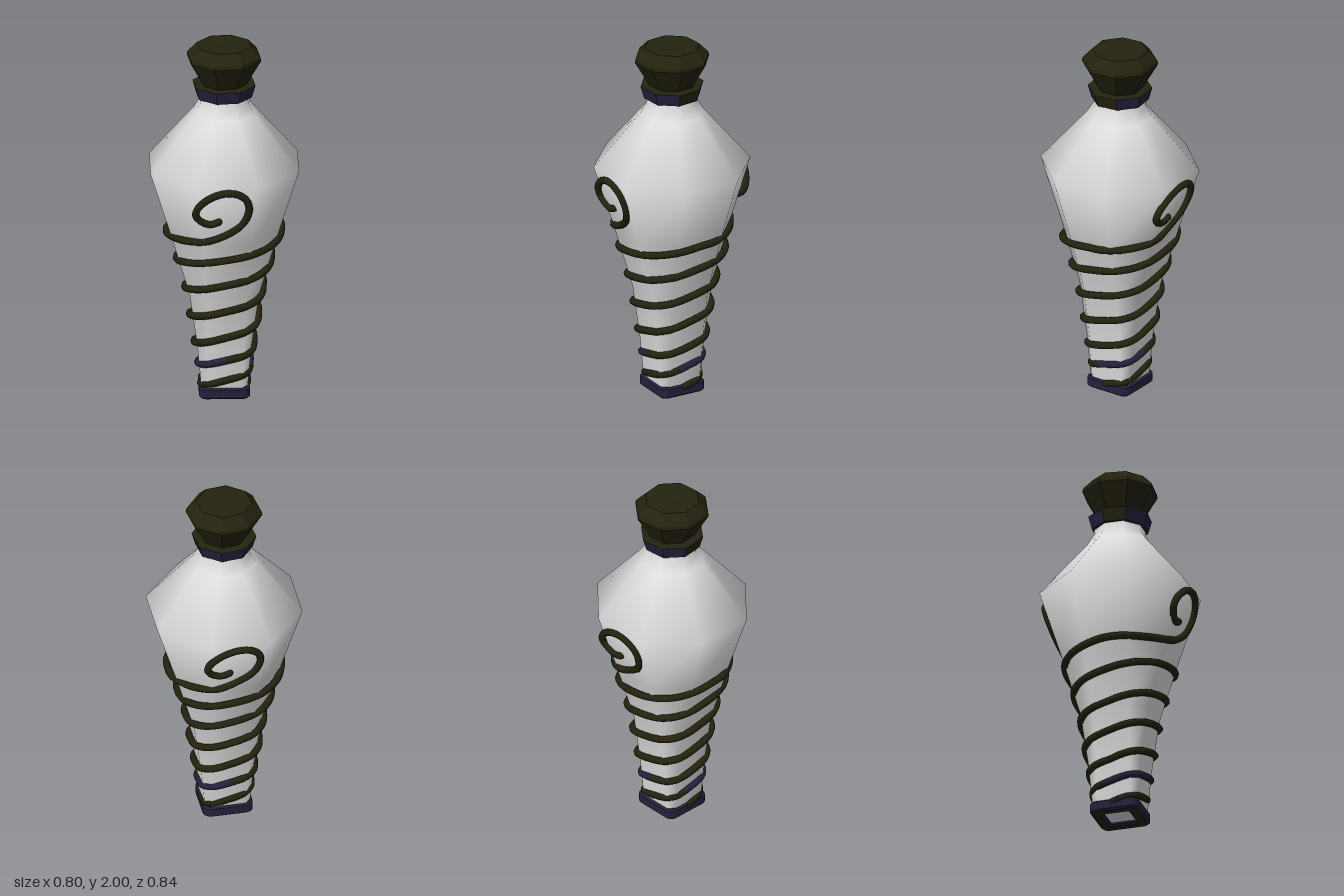
import * as THREE from 'three';

const white = new THREE.MeshStandardMaterial({ color: 0xdedede });
white.name = 'whiteGlass';
const olive = new THREE.MeshStandardMaterial({ color: 0x24220f });
olive.name = 'darkOlive';
const navy = new THREE.MeshStandardMaterial({ color: 0x24213c });
navy.name = 'darkNavy';

function add(parent, geometry, material, name) {
  const mesh = new THREE.Mesh(geometry, material);
  mesh.name = name;
  parent.add(mesh);
  return mesh;
}

// Bottle: eight-sided sections [y, half width, corner ratio], square below and octagonal above
function bodyGeometry() {
  const sections = [
    [0.02, 0.122, 0.75], [0.3, 0.146, 0.68], [0.6, 0.188, 0.56], [0.95, 0.288, 0.45],
    [1.32, 0.4, 0.41], [1.62, 0.163, 0.41], [1.68, 0.13, 0.41], [1.73, 0.125, 0.41],
  ];
  const pos = [], index = [];
  for (const [y, a, t] of sections) {
    for (let k = 0; k < 4; k++) {
      for (const off of [-t - 0.03, t - 0.03]) {
        let x = a, z = a * off;
        for (let q = 0; q < k; q++) [x, z] = [-z, x];
        pos.push(x, y, z);
      }
    }
  }
  for (let j = 0; j < sections.length - 1; j++) {
    for (let i = 0; i < 8; i++) {
      const a = j * 8 + i, b = j * 8 + (i + 1) % 8;
      index.push(a, a + 8, b, b, a + 8, b + 8);
    }
  }
  // Flat underside with its own corners
  const base = pos.length / 3;
  pos.push(...pos.slice(0, 24));
  for (let i = 1; i < 7; i++) index.push(base, base + i, base + i + 1);
  const g = new THREE.BufferGeometry();
  g.setAttribute('position', new THREE.Float32BufferAttribute(pos, 3));
  g.setIndex(index);
  g.computeVertexNormals();
  return g;
}

// Faceted eight-sided turned part
function facetedLathe(profile) {
  const points = profile.map(([r, y]) => new THREE.Vector2(r, y));
  const g = new THREE.LatheGeometry(points, 8, THREE.MathUtils.degToRad(29.3)).toNonIndexed();
  g.computeVertexNormals();
  return g;
}

// Vine: three rising turns hugging the bottle, ending in a curl on the front
function vineCurve() {
  const ys = [0.05, 0.17, 0.29, 0.45, 0.61, 0.78, 0.94];
  const rs = [0.125, 0.14, 0.16, 0.185, 0.21, 0.255, 0.31];
  const points = [];
  const steps = 10;
  for (let i = 0; i <= 6 * steps; i++) {
    const h = Math.min(Math.floor(i / steps), 5), f = i / steps - h;
    const y = THREE.MathUtils.lerp(ys[h], ys[h + 1], f);
    const r = THREE.MathUtils.lerp(rs[h], rs[h + 1], f);
    const p = THREE.MathUtils.lerp(3.5, 2.2, y);
    const angle = Math.PI * (1 - i / steps);
    const c = Math.cos(angle), s = Math.sin(angle);
    const k = r / Math.pow(Math.abs(c) ** p + Math.abs(s) ** p, 1 / p);
    points.push(new THREE.Vector3(c * k, y, s * k));
  }
  points.push(new THREE.Vector3(-0.3, 0.945, 0.1), new THREE.Vector3(-0.22, 0.955, 0.22));
  const curl = [
    [-0.1, 0.98], [0, 1.02], [0.09, 1.09], [0.125, 1.18], [0.11, 1.25], [0.06, 1.288],
    [-0.01, 1.293], [-0.09, 1.26], [-0.15, 1.2], [-0.162, 1.15], [-0.13, 1.11], [-0.08, 1.093], [-0.038, 1.108],
  ];
  for (const [x, y] of curl) points.push(new THREE.Vector3(x, y, 0.308 + (y - 1) * 0.32));
  return new THREE.CatmullRomCurve3(points, false, 'centripetal');
}

function makeVine() {
  const vine = new THREE.Group();
  const curve = vineCurve();
  const segments = 320, sides = 8;
  const tube = new THREE.TubeGeometry(curve, segments, 0.02, sides, false);
  for (let i = 0; i < segments; i++) {
    const y = curve.getPointAt((i + 0.5) / segments).y;
    tube.addGroup(i * sides * 6, sides * 6, y > 0.16 && y < 0.23 ? 1 : 0);
  }
  add(vine, tube, [olive, navy], 'vineStem');
  for (const t of [0, 1]) {
    add(vine, new THREE.SphereGeometry(0.02, 8, 6), olive, 'vineTip').position.copy(curve.getPointAt(t));
  }
  return vine;
}

// Rounded square outline
function roundedSquare(Kind, h, r) {
  const s = new Kind();
  for (let k = 0; k < 4; k++) {
    const a = k * Math.PI / 2;
    const sx = k === 0 || k === 3 ? 1 : -1, sy = k < 2 ? 1 : -1;
    s.absarc(sx * (h - r), sy * (h - r), r, a, a + Math.PI / 2, false);
  }
  s.closePath();
  return s;
}

export function createModel() {
  const model = new THREE.Group();
  model.name = 'bottle';
  add(model, bodyGeometry(), white, 'body');

  // Foot frame, open in the middle
  const outline = roundedSquare(THREE.Shape, 0.125, 0.03);
  outline.holes.push(roundedSquare(THREE.Path, 0.085, 0.02));
  const frame = new THREE.ExtrudeGeometry(outline, {
    depth: 0.045, bevelEnabled: true, bevelThickness: 0.01, bevelSize: 0.012, bevelSegments: 1, curveSegments: 3,
  });
  frame.rotateX(-Math.PI / 2).translate(0, 0.01, 0);
  add(model, frame, [olive, navy], 'footFrame');

  // Collar with mixed coloured facets
  const collar = facetedLathe([[0.1, 1.71], [0.155, 1.71], [0.175, 1.78], [0.09, 1.785]]);
  for (let k = 0; k < 8; k++) {
    collar.addGroup(k * 18, 6, 1);
    collar.addGroup(k * 18 + 6, 6, k % 4 === 1 ? 0 : 1);
    collar.addGroup(k * 18 + 12, 6, 0);
  }
  add(model, collar, [olive, navy], 'collar');

  // Flared stopper
  const stopper = facetedLathe([
    [0.1, 1.74], [0.118, 1.77], [0.207, 1.925], [0.203, 1.945], [0.15, 2], [0.078, 2], [0, 1.994],
  ]);
  add(model, stopper, olive, 'stopper');

  // Two vines, half a turn apart
  for (const [name, turn] of [['frontVine', 0], ['backVine', Math.PI]]) {
    const vine = makeVine();
    vine.name = name;
    vine.rotation.y = turn;
    model.add(vine);
  }
  return model;
}
